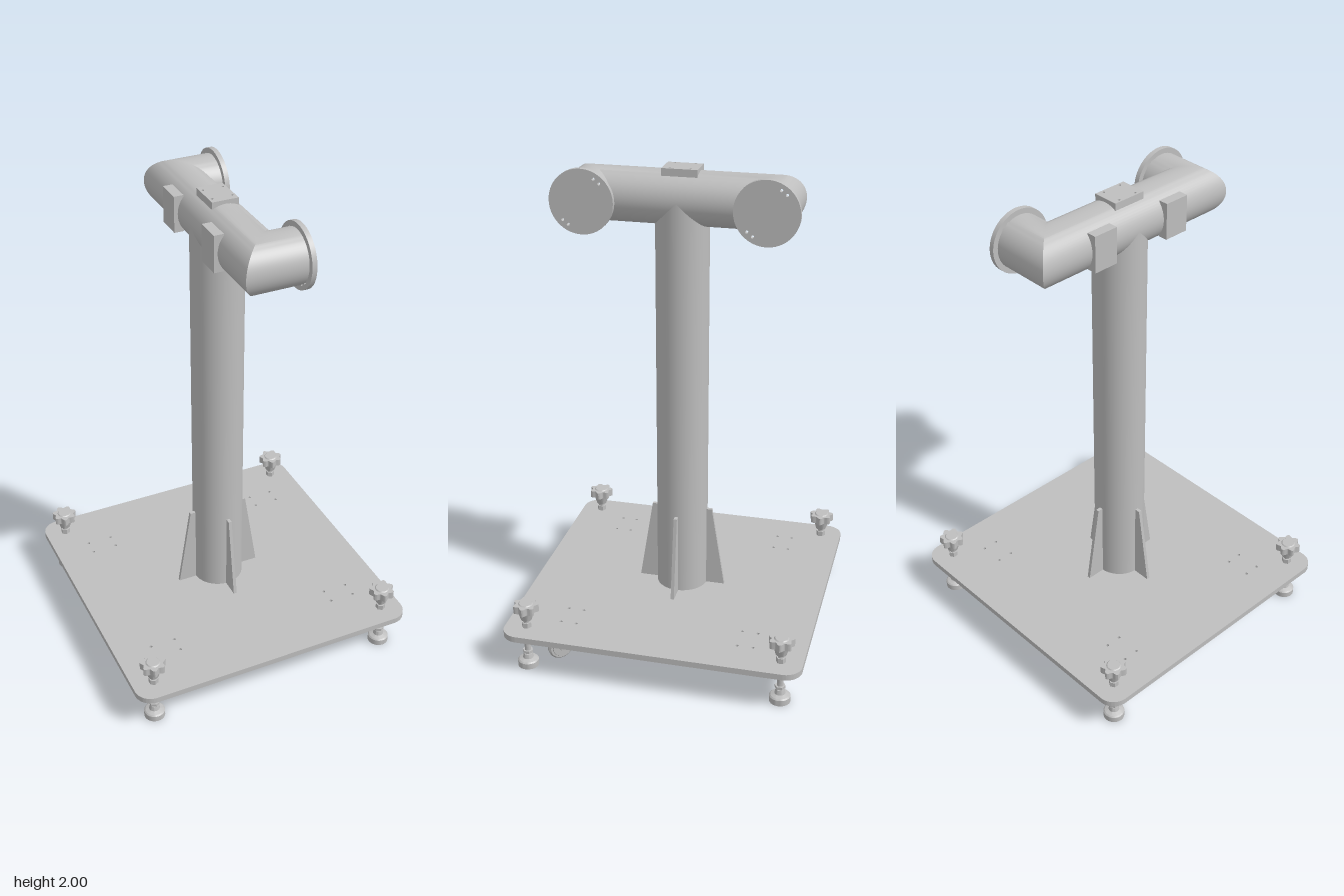
import * as THREE from 'three';
import { toCreasedNormals } from 'three/addons/utils/BufferGeometryUtils.js';

const grey = new THREE.MeshStandardMaterial({ color: 0xbebebe });
grey.name = 'plain grey';

const R = 0.107, ARM_Y = 1.875, BEND_Z = 0.36;
const PLATE_BOTTOM = 0.157, PLATE_TOP = 0.182;

function add(parent, name, geometry, x = 0, y = 0, z = 0) {
  const mesh = new THREE.Mesh(geometry, grey);
  mesh.name = name;
  mesh.position.set(x, y, z);
  parent.add(mesh);
  return mesh;
}

const cyl = (r1, r2, h, n = 32) => toCreasedNormals(new THREE.CylinderGeometry(r1, r2, h, n), 0.6);
const box = (w, h, d) => new THREE.BoxGeometry(w, h, d);

function extrude(shape, depth, curveSegments = 12) {
  const g = new THREE.ExtrudeGeometry(shape, { depth, bevelEnabled: false, curveSegments });
  return toCreasedNormals(g, 0.5);
}

function hole(shape, x, y, r) {
  shape.holes.push(new THREE.Path().absarc(x, y, r, 0, Math.PI * 2, true));
}

// Rounded square floor plate with caster bolt holes
function basePlate() {
  const h = 0.616, r = 0.07, s = new THREE.Shape();
  s.absarc(h - r, h - r, r, 0, Math.PI / 2);
  s.absarc(-h + r, h - r, r, Math.PI / 2, Math.PI);
  s.absarc(-h + r, -h + r, r, Math.PI, Math.PI * 1.5);
  s.absarc(h - r, -h + r, r, Math.PI * 1.5, Math.PI * 2);
  for (const sx of [-1, 1]) for (const sz of [-1, 1])
    for (const x of [0.355, 0.46]) for (const z of [0.337, 0.402]) hole(s, sx * x, sz * z, 0.006);
  hole(s, 0, 0, 0.035);
  return extrude(s, PLATE_TOP - PLATE_BOTTOM).rotateX(-Math.PI / 2);
}

// Horizontal pipe with a mitred bend at each end, swept ring by ring
function armPipe() {
  const n = 64, end = 0.145, pos = [], index = [];
  const rings = [
    u => [end, -(BEND_Z - u)], u => [u, -(BEND_Z - u)],
    u => [u, BEND_Z - u], u => [end, BEND_Z - u],
  ];
  for (const ring of rings) for (let i = 0; i < n; i++) {
    const a = i / n * Math.PI * 2, [x, z] = ring(R * Math.cos(a));
    pos.push(x, ARM_Y + R * Math.sin(a), z);
  }
  for (let j = 0; j < 3; j++) for (let i = 0; i < n; i++) {
    const k = (i + 1) % n, a = j * n + i, b = j * n + k;
    index.push(a, b, b + n, a, b + n, a + n);
  }
  const g = new THREE.BufferGeometry();
  g.setAttribute('position', new THREE.Float32BufferAttribute(pos, 3));
  g.setIndex(index);
  return toCreasedNormals(g, 0.5);
}

// End flange with bolt holes
function flange() {
  const s = new THREE.Shape().absarc(0, 0, 0.128, 0, Math.PI * 2);
  for (const deg of [45, 60, 225, 240]) {
    const a = deg * Math.PI / 180;
    hole(s, 0.105 * Math.cos(a), 0.105 * Math.sin(a), 0.006);
  }
  return extrude(s, 0.02, 32).rotateY(Math.PI / 2);
}

// Tapered stiffening fin, reaching out along +x
function fin() {
  const s = new THREE.Shape([[0.09, PLATE_TOP], [0.185, PLATE_TOP], [0.129, 0.535], [0.09, 0.535]]
    .map(([x, y]) => new THREE.Vector2(x, y)));
  return extrude(s, 0.014).translate(0, 0, -0.007);
}

// Screw foot with a lobed hand knob
function levellingFoot() {
  const g = new THREE.Group();
  g.name = 'levellingFoot';
  const pts = [];
  for (let i = 0; i < 84; i++) {
    const a = i / 84 * Math.PI * 2, r = 0.0465 + 0.0065 * Math.cos(7 * a);
    pts.push(new THREE.Vector2(r * Math.cos(a), r * Math.sin(a)));
  }
  add(g, 'knob', extrude(new THREE.Shape(pts), 0.032).rotateX(-Math.PI / 2), 0, 0.257, 0);
  add(g, 'knobTop', cyl(0.026, 0.03, 0.004), 0, 0.291, 0);
  add(g, 'knobNeck', cyl(0.034, 0.022, 0.04), 0, 0.237, 0);
  add(g, 'upperNut', cyl(0.02, 0.02, 0.022, 6), 0, 0.193, 0);
  add(g, 'screw', cyl(0.013, 0.013, 0.27, 20), 0, 0.155, 0);
  add(g, 'lowerNut', cyl(0.022, 0.022, 0.012, 6), 0, 0.066, 0);
  const pad = [[0, 0], [0.043, 0], [0.043, 0.025], [0.038, 0.03], [0.022, 0.036], [0.018, 0.055], [0, 0.055]]
    .map(([x, y]) => new THREE.Vector2(x, y));
  add(g, 'footPad', toCreasedNormals(new THREE.LatheGeometry(pad, 32), 0.4));
  return g;
}

// Swivel caster, wheel trailing along +x
function caster(angle) {
  const g = new THREE.Group();
  g.name = 'caster';
  add(g, 'mountPlate', box(0.14, 0.008, 0.1), 0, 0.153, 0);
  const swivel = new THREE.Group();
  swivel.name = 'swivel';
  swivel.rotation.y = angle;
  g.add(swivel);
  add(swivel, 'bearing', cyl(0.035, 0.035, 0.02), 0, 0.14, 0);
  add(swivel, 'forkCrown', box(0.07, 0.008, 0.054), 0.003, 0.128, 0);
  const cheek = new THREE.Shape([[-0.032, 0.132], [0.038, 0.132], [0.072, 0.06], [0.062, 0.044], [0.044, 0.044]]
    .map(([x, y]) => new THREE.Vector2(x, y)));
  for (const z of [-0.027, 0.021]) add(swivel, 'forkCheek', extrude(cheek, 0.006), 0, 0, z);
  const wheel = [[0, -0.018], [0.036, -0.018], [0.038, -0.015], [0.046, -0.015], [0.053, -0.008],
    [0.053, 0.008], [0.046, 0.015], [0.038, 0.015], [0.036, 0.018], [0, 0.018]]
    .map(([x, y]) => new THREE.Vector2(x, y));
  add(swivel, 'wheel', toCreasedNormals(new THREE.LatheGeometry(wheel, 36).rotateX(Math.PI / 2), 0.5), 0.057, 0.053, 0);
  add(swivel, 'axle', cyl(0.009, 0.009, 0.068, 16).rotateX(Math.PI / 2), 0.057, 0.053, 0);
  return g;
}

export function createModel() {
  const model = new THREE.Group();
  model.name = 'pedestalStand';

  add(model, 'basePlate', basePlate(), 0, PLATE_BOTTOM, 0);
  const columnHeight = ARM_Y - PLATE_TOP;
  add(model, 'column', cyl(R, R, columnHeight, 64), 0, PLATE_TOP + columnHeight / 2, 0);
  for (let i = 0; i < 4; i++) add(model, 'fin', fin()).rotation.y = i * Math.PI / 2;

  // Head
  add(model, 'armPipe', armPipe());
  for (const s of [-1, 1]) {
    add(model, 'flange', flange(), 0.142, ARM_Y, s * BEND_Z);
    add(model, 'sidePad', box(0.04, 0.15, 0.106), -0.102, ARM_Y, s * 0.18);
  }
  const top = new THREE.Shape([[-0.054, -0.071], [0.054, -0.071], [0.054, 0.071], [-0.054, 0.071]]
    .map(([x, y]) => new THREE.Vector2(x, y)));
  for (const x of [-0.041, 0.041]) for (const z of [-0.041, 0.041]) hole(top, x, z, 0.005);
  add(model, 'topPad', extrude(top, 0.03).rotateX(-Math.PI / 2), 0, 1.967, 0);

  // Feet and casters
  for (const x of [-0.527, 0.527]) for (const z of [-0.527, 0.527]) {
    const foot = levellingFoot();
    foot.position.set(x, 0, z);
    model.add(foot);
  }
  const casters = [[-0.46, -0.43, 0], [0.41, -0.43, Math.PI], [0.41, 0.37, -0.9], [-0.46, 0.39, -0.2]];
  for (const [x, z, angle] of casters) {
    const c = caster(angle);
    c.position.set(x, 0, z);
    model.add(c);
  }
  return model;
}
